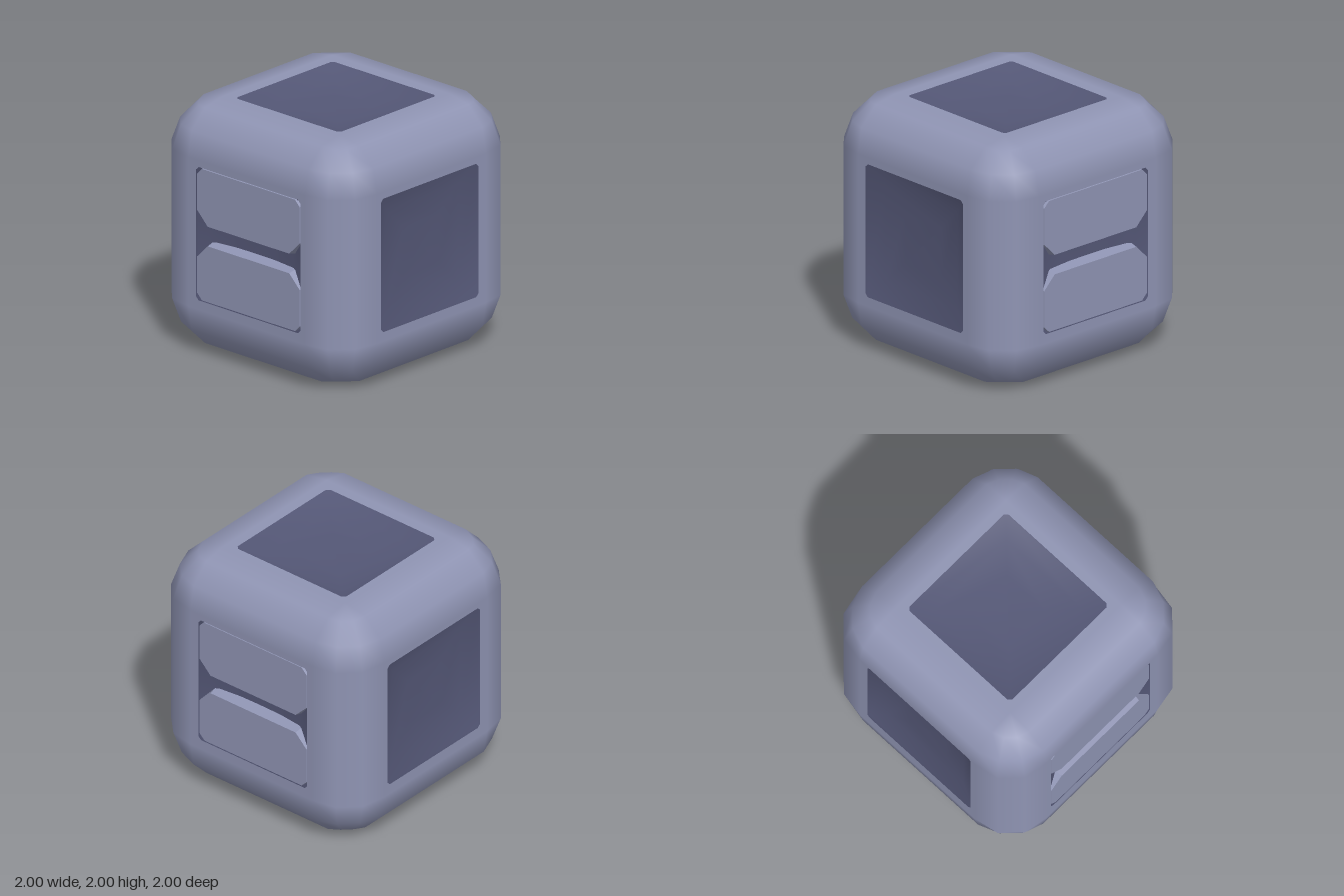
import * as THREE from 'three';

export function createModel() {
  const model = new THREE.Group();
  model.name = 'roundedCube';
  const shellMat = new THREE.MeshStandardMaterial({ color: 0x8f94b3 });
  shellMat.name = 'blueGreyShell';
  const recessMat = new THREE.MeshStandardMaterial({ color: 0x545776 });
  recessMat.name = 'darkRecess';

  const body = new THREE.Group();
  body.name = 'body';
  body.position.y = 1;
  model.add(body);

  const R = 0.39, C = 1 - R, OPEN = 0.545, H = Math.PI / 2;

  const add = (parent, name, geometry, material) => {
    const mesh = new THREE.Mesh(geometry, material);
    mesh.name = name;
    parent.add(mesh);
    return mesh;
  };

  // Move every vertex of a geometry by a rule
  const reshape = (geometry, rule) => {
    const pos = geometry.attributes.position;
    const v = new THREE.Vector3();
    for (let i = 0; i < pos.count; i++) {
      rule(v.fromBufferAttribute(pos, i));
      pos.setXYZ(i, v.x, v.y, v.z);
    }
    return geometry;
  };

  // Rectangle with cut corners: c0 at the bottom, c1 at the top
  const cutRect = (Type, x, y0, y1, c0, c1) => new Type([
    [-x + c0, y0], [x - c0, y0], [x, y0 + c0], [x, y1 - c1],
    [x - c1, y1], [-x + c1, y1], [-x, y1 - c1], [-x, y0 + c0],
  ].map(([a, b]) => new THREE.Vector2(a, b)));

  // Six faces: a rim dipping slightly inwards, around a shallow dark dish
  const rim = cutRect(THREE.Shape, C, -C, C, 0, 0);
  rim.holes.push(cutRect(THREE.Path, OPEN, -OPEN, OPEN, 0.025, 0.025));
  const rimGeo = reshape(new THREE.ShapeGeometry(rim).rotateX(-H), (v) => {
    v.y = Math.max(Math.abs(v.x), Math.abs(v.z)) < 0.6 ? 0.982 : 1;
  });
  const dishProfile = [[0.585, 0.974], [0.54, 0.966], [0.4, 0.905], [0.2, 0.888], [0, 0.885]];
  const dishGeo = new THREE.LatheGeometry(
    dishProfile.map(([r, y]) => new THREE.Vector2(r * Math.SQRT2, y)), 4, Math.PI / 4);
  const turns = [[0, 0], [Math.PI, 0], [H, 0], [-H, 0], [0, H], [0, -H]];
  for (const [rx, rz] of turns) {
    const face = new THREE.Group();
    face.name = 'face';
    face.rotation.set(rx, 0, rz);
    add(face, 'rim', rimGeo, shellMat);
    add(face, 'recess', dishGeo, recessMat);
    body.add(face);
  }

  // Twelve rounded edges with a slightly full curve, four along each axis
  const FULL = 1.045;
  const edgeGeo = reshape(new THREE.CylinderGeometry(R, R, 2 * C, 3, 1, true, 0, H), (v) => {
    if (Math.min(v.x, v.z) > 0.01) v.set(v.x * FULL, v.y, v.z * FULL);
  }).translate(C, 0, C);
  for (const [rx, rz] of [[0, 0], [H, 0], [0, H]]) {
    const edges = new THREE.Group();
    edges.name = 'edges';
    edges.rotation.set(rx, 0, rz);
    for (let i = 0; i < 4; i++) add(edges, 'roundedEdge', edgeGeo, shellMat).rotation.y = i * H;
    body.add(edges);
  }

  // Eight rounded corners, whose borders follow the edges
  const cornerGeo = reshape(new THREE.SphereGeometry(R, 3, 3, 0, H, 0, H), (v) => {
    const bent = v.toArray().filter((a) => Math.abs(a) > 0.01).length;
    if (bent === 2) v.multiplyScalar(FULL);
  }).translate(-C, C, C);
  for (const rx of [0, Math.PI]) {
    const corners = new THREE.Group();
    corners.name = 'corners';
    corners.rotation.x = rx;
    for (let i = 0; i < 4; i++) add(corners, 'roundedCorner', cornerGeo, shellMat).rotation.y = i * H;
    body.add(corners);
  }

  // Paired tapered plates with a slot between them, front and back
  const plateGeo = new THREE.ExtrudeGeometry(
    cutRect(THREE.Shape, 0.537, 0.08, 0.537, 0.11, 0.05),
    { depth: 0.01, bevelEnabled: true, bevelThickness: 0.11, bevelSize: 0.025, bevelSegments: 1 },
  ).translate(0, 0, 0.98 - 0.12);
  for (const ry of [0, Math.PI]) {
    const pair = new THREE.Group();
    pair.name = ry ? 'backPlates' : 'frontPlates';
    pair.rotation.y = ry;
    add(pair, 'upperPlate', plateGeo, shellMat);
    add(pair, 'lowerPlate', plateGeo, shellMat).rotation.z = Math.PI;
    body.add(pair);
  }

  return model;
}
